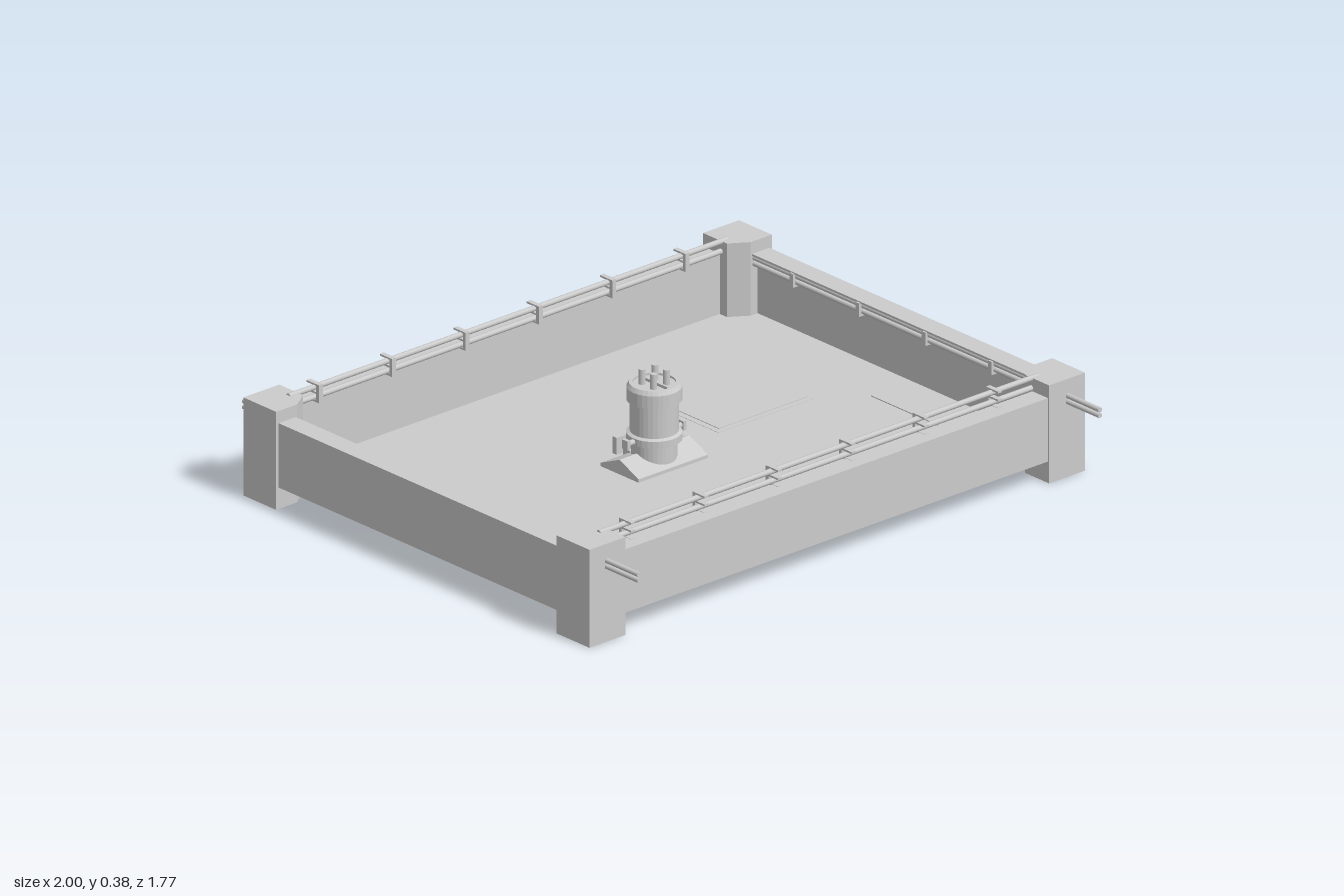
import * as THREE from 'three';

const gray = new THREE.MeshStandardMaterial({ color: 0xcccccc, flatShading: true });
const smooth = new THREE.MeshStandardMaterial({ color: 0xcccccc });

export function createModel() {
  const root = new THREE.Group();
  const CZ = -0.035; // middle of the tray along z

  function add(name, geo, parent = root, mat = gray) {
    const m = new THREE.Mesh(geo, mat);
    m.name = name;
    parent.add(m);
    return m;
  }
  // box given by its limits
  function box(name, x0, x1, y0, y1, z0, z1, parent = root) {
    const m = add(name, new THREE.BoxGeometry(x1 - x0, y1 - y0, z1 - z0), parent);
    m.position.set((x0 + x1) / 2, (y0 + y1) / 2, (z0 + z1) / 2);
    return m;
  }
  // round bar along x or z
  function bar(name, axis, r, len, x, y, z, parent = root) {
    const g = new THREE.CylinderGeometry(r, r, len, 12);
    if (axis === 'x') g.rotateZ(Math.PI / 2);
    if (axis === 'z') g.rotateX(Math.PI / 2);
    const m = add(name, g, parent, smooth);
    m.position.set(x, y, z);
    return m;
  }
  function group(name) {
    const g = new THREE.Group();
    g.name = name;
    root.add(g);
    return g;
  }

  // floor of the tray
  box('floor', -0.985, 0.985, 0.07, 0.08, -0.8, 0.73);

  for (const s of [-1, 1]) {
    // corner posts with the inner edge chamfered
    for (const t of [-1, 1]) {
      const pts = [[1, 0.775], [0.855, 0.775], [0.855, 0.668], [0.915, 0.628], [1, 0.628]]
        .map(([x, z]) => new THREE.Vector2(s * x, -(CZ + t * z)));
      const g = new THREE.ExtrudeGeometry(new THREE.Shape(pts), { depth: 0.32, bevelEnabled: false });
      add('cornerPost', g.rotateX(-Math.PI / 2));
    }

    // long walls at the front and back
    const wall = box('longWall', -0.9, 0.9, 0.07, 0.277, -0.035, 0.035);
    wall.position.z = CZ + s * 0.735;
    const longRail = group('longRail');
    const rz = CZ + s * 0.695;
    for (const y of [0.286, 0.318]) bar('railPipe', 'x', 0.009, 1.77, -0.005, y, rz, longRail);

    // side walls with a lip above the recessed pipes
    const xs = (a, b) => (s > 0 ? [a, b] : [-b, -a]);
    box('sideWall', ...xs(0.943, 0.99), 0.07, 0.28, -0.7, 0.63);
    box('sideWallLip', ...xs(0.92, 0.99), 0.273, 0.28, -0.7, 0.63);
    const sideRail = group('sideRail');
    for (const y of [0.246, 0.265]) bar('railPipe', 'z', 0.008, 1.77, s * 0.93, y, 0, sideRail);

    // clips holding the pipes
    for (let i = 0; i < 6; i++) {
      const x = -0.78 + i * 0.296;
      const clip = group('longRailClip');
      box('clipBack', x - 0.008, x + 0.008, 0.272, 0.33, -0.006, 0.006, clip).position.z = CZ + s * 0.678;
      for (const y of [0.275, 0.302, 0.328])
        box('clipArm', x - 0.008, x + 0.008, y - 0.003, y + 0.003, -0.027, 0.027, clip).position.z = CZ + s * 0.7;
    }
    for (let i = 0; i < 4; i++) {
      const z = -0.48 + i * 0.296;
      box('sideRailClip', ...xs(0.914, 0.945), 0.232, 0.276, z - 0.008, z + 0.008);
    }
  }

  // hatch: thin frame and lid showing on both sides of the floor
  const hatch = group('hatch');
  box('hatchFrame', 0.25, 0.65, 0.066, 0.081, -0.43, -0.07, hatch);
  box('hatchLid', 0.27, 0.63, 0.065, 0.083, -0.41, -0.09, hatch);
  box('floorPlate', 0.775, 0.93, 0.075, 0.083, 0.03, 0.54);

  // pump on a roof-shaped base
  const pump = group('pump');
  box('pumpBottomPlate', -0.18, 0.1, 0.065, 0.085, -0.12, 0.05, pump);
  const tri = new THREE.Shape([
    new THREE.Vector2(-0.085, 0), new THREE.Vector2(0.085, 0),
    new THREE.Vector2(0.085, 0.008), new THREE.Vector2(0, 0.045), new THREE.Vector2(-0.085, 0.008),
  ]);
  const base = add('pumpBase', new THREE.ExtrudeGeometry(tri, { depth: 0.28, bevelEnabled: false }).rotateY(Math.PI / 2), pump);
  base.position.set(-0.18, 0.083, CZ);

  const profile = [[0.001, 0.09], [0.07, 0.09], [0.07, 0.155], [0.085, 0.16], [0.085, 0.182], [0.074, 0.187],
    [0.074, 0.285], [0.084, 0.288], [0.084, 0.33], [0.076, 0.343], [0.066, 0.343], [0.066, 0.336], [0.001, 0.336]]
    .map(([r, y]) => new THREE.Vector2(r, y));
  const body = add('pumpBody', new THREE.LatheGeometry(profile, 32), pump);
  body.position.set(-0.04, 0, CZ);
  bar('pumpCrossBar', 'x', 0.009, 0.23, -0.04, 0.17, CZ, pump);
  box('capRib', -0.044, -0.036, 0.33, 0.345, CZ - 0.062, CZ + 0.062, pump);
  for (const sx of [-1, 1]) {
    for (const sz of [-1, 1])
      bar('pumpPin', 'y', 0.011, 0.055, -0.04 + sx * 0.026, 0.357, CZ + sz * 0.026, pump);
    box('crossBarEnd', -0.006, 0.006, 0.155, 0.185, CZ - 0.012, CZ + 0.012, pump).position.x = -0.04 + sx * 0.113;
  }
  // outlet behind the pump
  bar('outletPipe', 'z', 0.022, 0.09, -0.04, 0.115, -0.11, pump);
  box('outletFlange', -0.095, 0.015, 0.085, 0.14, -0.16, -0.142, pump);
  box('outletFoot', -0.07, -0.01, 0.08, 0.1, -0.142, -0.11, pump);

  // small sensor block by the front wall
  const sensor = group('sensor');
  box('sensorBody', 0.43, 0.49, 0.08, 0.145, 0.605, 0.65, sensor);
  box('sensorCap', 0.438, 0.482, 0.145, 0.16, 0.612, 0.645, sensor);
  box('sensorMount', 0.445, 0.475, 0.095, 0.13, 0.65, 0.67, sensor);

  return root;
}
